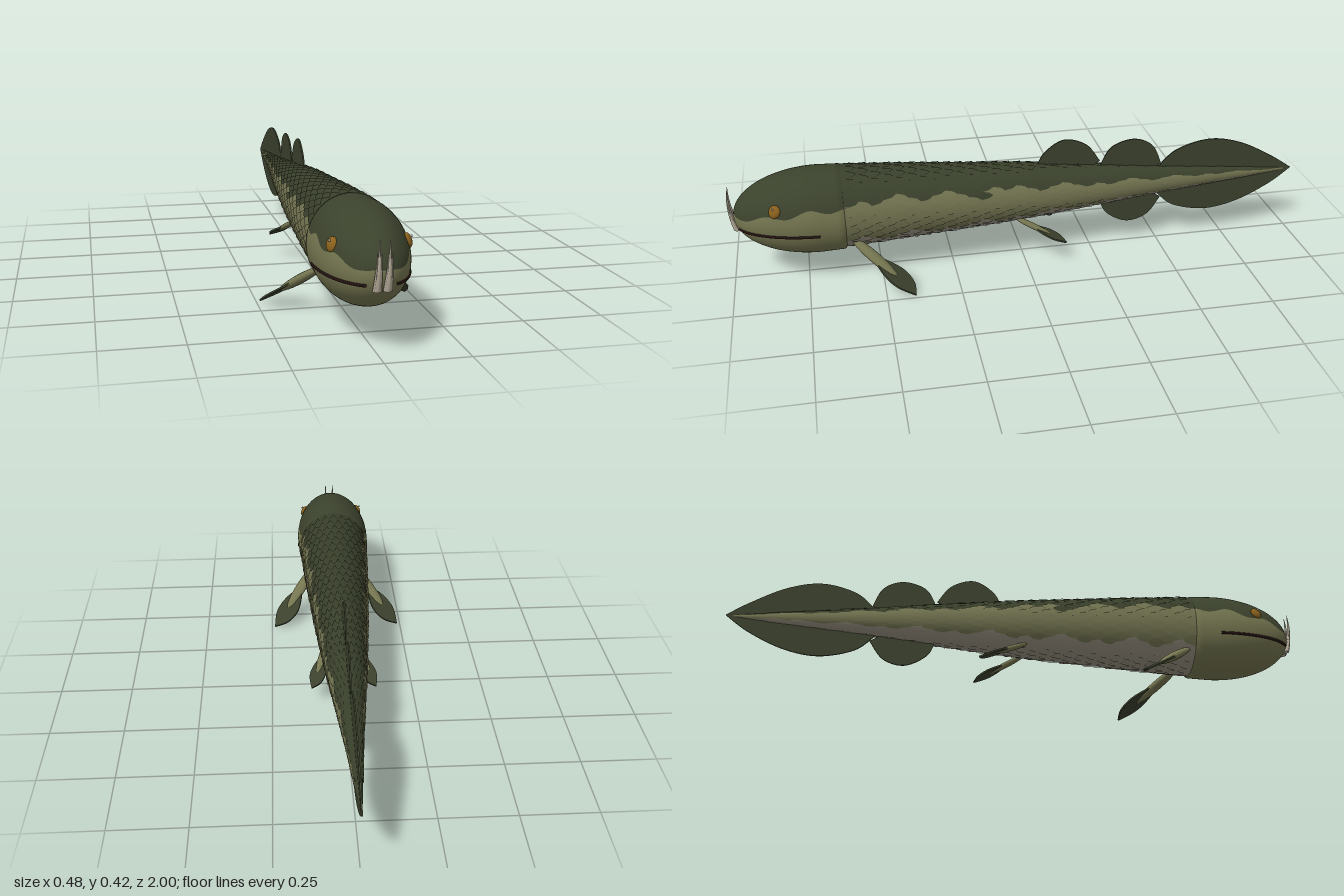
import * as THREE from 'three';
import { mergeGeometries } from 'three/addons/utils/BufferGeometryUtils.js';

const { sin, cos, asin, sqrt, PI } = Math;
const clamp = THREE.MathUtils.clamp;

function material(name, color, side = THREE.FrontSide) {
  const m = new THREE.MeshStandardMaterial({ color, side });
  m.name = name;
  return m;
}

// body stations: z, half width, half height, centre height
const STATIONS = [
  [0.66, 0.128, 0.143, 0.243], [0.4, 0.115, 0.126, 0.242], [0.2, 0.102, 0.112, 0.24],
  [0, 0.088, 0.098, 0.239], [-0.3, 0.064, 0.069, 0.238], [-0.5, 0.044, 0.048, 0.237],
  [-0.7, 0.025, 0.03, 0.236], [-0.9, 0.01, 0.012, 0.235], [-0.98, 0.002, 0.003, 0.235],
];
function bodyPoint(z, a, lift = 0) {
  let i = 0;
  while (i < STATIONS.length - 2 && z < STATIONS[i + 1][0]) i++;
  const p = STATIONS[i], q = STATIONS[i + 1];
  const t = clamp((z - p[0]) / (q[0] - p[0]), 0, 1);
  const [rx, ry, cy] = [1, 2, 3].map(k => p[k] + (q[k] - p[k]) * t);
  const off = lift * Math.min(1, 0.15 + ry / 0.12);
  return [cos(a) * (rx + off), cy + sin(a) * (ry + off), z];
}

// head: half ellipsoid at the front, nearly straight behind, tucked in at the gill edge
function headScale(z) {
  if (z > 0.7) return sqrt(Math.max(0, 1 - ((z - 0.7) / 0.28) ** 2));
  return z > 0.615 ? 1 - (0.7 - z) * 0.25 : 0.9;
}
function headPoint(z, a) {
  const s = headScale(z);
  return [cos(a) * 0.138 * s, 0.24 + sin(a) * 0.151 * s, z];
}
function headSide(z, y) {
  const s = headScale(z);
  return 0.138 * s * sqrt(Math.max(0, 1 - ((y - 0.24) / (0.151 * s)) ** 2));
}

// angles of the colour borders
const backAngle = z => asin(0.45 + 0.09 * sin(z * 30) + 0.04 * sin(z * 71));
const bellyAngle = z => asin(0.58 + 0.06 * sin(z * 27 + 1));
const capAngle = z => {
  const y = 0.29 - 0.035 * clamp((z - 0.72) / 0.25, 0, 1) + 0.008 * sin(z * 45);
  return asin(clamp((y - 0.24) / Math.max(0.151 * headScale(z), 1e-4), -1, 1));
};

// lengthwise band of a lofted surface between two border angles
function band(point, zs, from, to, n) {
  const pos = [], index = [];
  zs.forEach((z, r) => {
    for (let k = 0; k <= n; k++) pos.push(...point(z, from(z) + (to(z) - from(z)) * k / n));
    if (r === 0) return;
    for (let k = 0; k < n; k++) {
      const b = r * (n + 1) + k, a = b - n - 1;
      index.push(a, b, a + 1, b, b + 1, a + 1);
    }
  });
  const g = new THREE.BufferGeometry();
  g.setAttribute('position', new THREE.Float32BufferAttribute(pos, 3));
  g.setIndex(index);
  g.computeVertexNormals();
  return g;
}

// one curved scale, lifted toward its rear edge
const SCALE = [[0, 0.5], [-0.9, 0], [0.9, 0], [1, 0.5], [0.62, 0.84], [0, 1], [-0.62, 0.84], [-1, 0.5]];
function scaleGeometry(z, a, halfAngle, length) {
  const pos = [], index = [];
  for (const [u, v] of SCALE) pos.push(...bodyPoint(z - v * length, a + u * halfAngle, 0.001 + 0.007 * v));
  for (let k = 1; k < 8; k++) index.push(0, k, k % 7 + 1);
  const g = new THREE.BufferGeometry();
  g.setAttribute('position', new THREE.Float32BufferAttribute(pos, 3));
  g.setIndex(index);
  g.computeVertexNormals();
  return g;
}

// thin plate from splines that meet at sharp corners
function plate(thickness, ...runs) {
  const shape = new THREE.Shape();
  shape.moveTo(...runs[0][0]);
  runs.forEach(run => shape.splineThru(run.slice(1).map(p => new THREE.Vector2(...p))));
  const g = new THREE.ExtrudeGeometry(shape, { depth: thickness, bevelEnabled: false, curveSegments: 24 });
  return g.translate(0, 0, -thickness / 2);
}

export function createModel() {
  const model = new THREE.Group();
  const dark = material('dark green back', 0x3b422c);
  const olive = material('olive flank', 0x757650);
  const pale = material('pale belly', 0x98917f);
  const darkScale = material('dark scales', 0x383f2a, THREE.DoubleSide);
  const oliveScale = material('olive scales', 0x727350, THREE.DoubleSide);
  const paleScale = material('pale scales', 0x979080, THREE.DoubleSide);
  const finMat = material('fin green', 0x3b412d);
  const gold = material('gold eye', 0x8a611c);
  const ivory = material('ivory', 0xb3aa98);
  const black = material('mouth dark', 0x22110f);
  const add = (name, geometry, mat, parent = model) => {
    const mesh = new THREE.Mesh(geometry, mat);
    mesh.name = name;
    parent.add(mesh);
    return mesh;
  };

  // body skin in three coloured bands
  const zs = Array.from({ length: 91 }, (_, i) => 0.65 - 1.63 * i / 90);
  add('bodyBack', band(bodyPoint, zs, backAngle, z => PI - backAngle(z), 18), dark);
  add('bodyFlanks', mergeGeometries([
    band(bodyPoint, zs, z => -bellyAngle(z), backAngle, 10),
    band(bodyPoint, zs, z => PI - backAngle(z), z => PI + bellyAngle(z), 10),
  ]), olive);
  add('bodyBelly', band(bodyPoint, zs, z => PI + bellyAngle(z), z => 2 * PI - bellyAngle(z), 14), pale);

  // overlapping scales in staggered rows
  const sets = [[], [], []], around = 26;
  for (let row = 0; row < 36; row++) {
    const z = 0.645 - row * 0.041;
    for (let k = 0; k < around; k++) {
      const a = (k + (row % 2) / 2) * 2 * PI / around;
      const mid = z - 0.045, s = sin(a);
      const set = s > sin(backAngle(mid)) ? 0 : s < -sin(bellyAngle(mid)) ? 2 : 1;
      sets[set].push(scaleGeometry(z, a, PI / around * 1.08, 0.078));
    }
  }
  [['backScales', darkScale], ['flankScales', oliveScale], ['bellyScales', paleScale]]
    .forEach(([name, mat], i) => add(name, mergeGeometries(sets[i]), mat));

  // head with dark cap
  const hz = Array.from({ length: 41 }, (_, i) => 0.7 + 0.28 * cos(i / 40 * PI / 2));
  hz.push(0.68, 0.66, 0.64, 0.62, 0.612);
  add('headCap', band(headPoint, hz, capAngle, z => PI - capAngle(z), 24), dark);
  add('headLower', band(headPoint, hz, z => PI - capAngle(z), z => 2 * PI + capAngle(z), 40), olive);

  // median fins, drawn with x toward the tail
  const medianFins = {
    frontDorsalFin: [[[0.05, 0.315], [0.08, 0.375], [0.15, 0.418], [0.23, 0.393], [0.28, 0.328]], [[0.28, 0.328], [0.2, 0.29], [0.05, 0.3], [0.05, 0.315]]],
    rearDorsalFin: [[[0.28, 0.305], [0.32, 0.375], [0.4, 0.4], [0.47, 0.37], [0.505, 0.298]], [[0.505, 0.298], [0.4, 0.25], [0.28, 0.28], [0.28, 0.305]]],
    analFin: [[[0.28, 0.18], [0.31, 0.12], [0.385, 0.08], [0.46, 0.1], [0.508, 0.165]], [[0.508, 0.165], [0.4, 0.22], [0.28, 0.2], [0.28, 0.18]]],
    tailFin: [[[0.49, 0.28], [0.56, 0.345], [0.68, 0.376], [0.8, 0.352], [0.92, 0.29], [1, 0.237]],
      [[1, 0.237], [0.92, 0.178], [0.8, 0.121], [0.68, 0.1], [0.56, 0.127], [0.495, 0.18]], [[0.495, 0.18], [0.49, 0.28]]],
  };
  for (const [name, runs] of Object.entries(medianFins)) add(name, plate(0.005, ...runs).rotateY(PI / 2), finMat);

  // everything paired is built on the +x side and mirrored
  for (const side of [1, -1]) {
    const half = new THREE.Group();
    half.name = side > 0 ? 'leftParts' : 'rightParts';
    half.scale.x = side;
    model.add(half);

    // fleshy lobe and leaf-shaped blade, laid along the root-to-tip line
    const pairedFin = (name, root, tip, width) => {
      const r = new THREE.Vector3(...root), d = new THREE.Vector3(...tip).sub(r);
      const len = d.length();
      d.normalize();
      const w = new THREE.Vector3(-d.z, 0, d.x).normalize();
      const fin = new THREE.Group();
      fin.name = name;
      fin.applyMatrix4(new THREE.Matrix4().makeBasis(w, d, w.clone().cross(d)).setPosition(r));
      half.add(fin);
      add(name + 'Lobe', new THREE.SphereGeometry(1, 18, 14).scale(width * 0.25, len * 0.38, width * 0.17)
        .translate(0, len * 0.28, 0), olive, fin);
      add(name + 'Blade', plate(0.006,
        [[0, len * 0.25], [width * 0.36, len * 0.5], [width * 0.42, len * 0.75], [width * 0.08, len]],
        [[width * 0.08, len], [-width * 0.38, len * 0.86], [-width * 0.52, len * 0.65], [-width * 0.3, len * 0.42], [0, len * 0.25]]), finMat, fin);
    };
    pairedFin('pectoralFin', [0.095, 0.145, 0.58], [0.233, 0.004, 0.4], 0.088);
    pairedFin('pelvicFin', [0.055, 0.155, 0.02], [0.108, 0.076, -0.14], 0.056);

    // eye and glint
    const normal = new THREE.Vector3(0.86, 0.33, 0.38).normalize();
    const eye = add('eye', new THREE.SphereGeometry(1, 20, 14).scale(0.02, 0.022, 0.011), gold, half);
    eye.position.set(headSide(0.84, 0.295), 0.295, 0.84);
    eye.quaternion.setFromUnitVectors(new THREE.Vector3(0, 0, 1), normal);
    const glint = add('eyeGlint', new THREE.SphereGeometry(0.004, 10, 8), ivory, half);
    glint.position.copy(eye.position).addScaledVector(normal, 0.009).add(new THREE.Vector3(0, 0.01, 0.002));

    // mouth line hugging the head
    const line = Array.from({ length: 12 }, (_, i) => {
      const z = 0.962 - 0.262 * (i / 11) ** 1.5, y = 0.209 - 0.007 * i / 11;
      return new THREE.Vector3(headSide(z, y), y, z);
    });
    add('mouthLine', new THREE.TubeGeometry(new THREE.CatmullRomCurve3(line), 40, 0.005, 8), black, half);

    // upright curved tusk with a slimmer prong on each side
    const tusk = (x, top, radius) => {
      const g = new THREE.CylinderGeometry(0.0008, radius, top - 0.194, 14, 14);
      g.translate(0, (top + 0.194) / 2, 0);
      const p = g.attributes.position;
      for (let i = 0; i < p.count; i++) {
        const t = (p.getY(i) - 0.194) / 0.146;
        p.setX(i, p.getX(i) + x + (0.0145 - x) * 0.2 * t);
        p.setZ(i, p.getZ(i) + 0.972 + 0.052 * t - 0.034 * t * t);
      }
      g.computeVertexNormals();
      return g;
    };
    add('tusk', mergeGeometries([tusk(0.0145, 0.341, 0.011), tusk(0.008, 0.305, 0.006), tusk(0.022, 0.305, 0.006)]), ivory, half);
  }
  return model;
}
